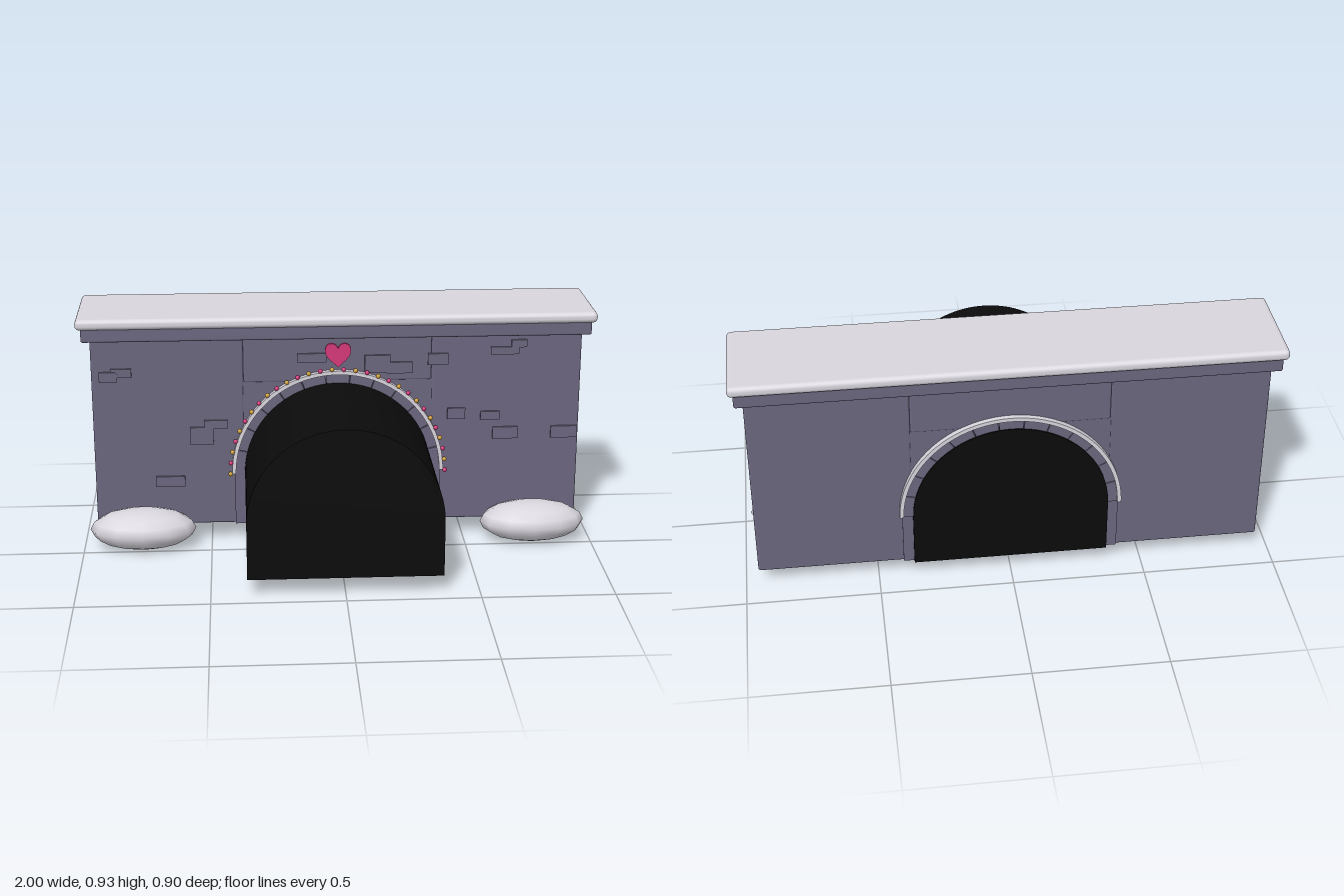
import * as THREE from 'three';
import { toCreasedNormals } from 'three/addons/utils/BufferGeometryUtils.js';
import { RoundedBoxGeometry } from 'three/addons/geometries/RoundedBoxGeometry.js';

const SPRING = 0.285, BASE = 0.07, HALF = 0.365; // arch springing height, ground line, half opening

export function createModel() {
  const group = new THREE.Group();
  const material = (name, color) => {
    const m = new THREE.MeshStandardMaterial({ color });
    m.name = name;
    return m;
  };
  const stone = material('purple stone', 0x6b667f);
  const snow = material('snow', 0xd8d5dd);
  const dark = material('tunnel black', 0x0b0b0b);
  const pink = material('pink', 0xd6397a);
  const gold = material('gold', 0xcfa03a);

  const add = (name, geometry, mat, x = 0, y = 0, z = 0) => {
    const mesh = new THREE.Mesh(geometry, mat);
    mesh.name = name;
    mesh.position.set(x, y, z);
    group.add(mesh);
    return mesh;
  };
  // Rounded block given by its limits
  const block = (name, mat, x0, x1, y0, y1, z0, z1, r) =>
    add(name, new RoundedBoxGeometry(x1 - x0, y1 - y0, z1 - z0, 3, r), mat,
      (x0 + x1) / 2, (y0 + y1) / 2, (z0 + z1) / 2);
  // Shape in the front plane, extruded between two depths
  const slab = (name, mat, shape, z0, z1) => {
    const g = new THREE.ExtrudeGeometry(shape, { depth: z1 - z0, bevelEnabled: false, curveSegments: 32 });
    return add(name, toCreasedNormals(g, 0.5), mat, 0, 0, z0);
  };
  const ringShape = (inner, outer, a0, a1) => {
    const s = new THREE.Shape();
    s.absarc(0, SPRING, outer, a0, a1, false);
    s.absarc(0, SPRING, inner, a1, a0, true);
    s.closePath();
    return s;
  };

  // Wall: two piers, a lintel and the fill around the arch
  block('leftPier', stone, HALF, 0.95, BASE, 0.835, -0.4, -0.11, 0.008);
  block('rightPier', stone, -0.95, -HALF, BASE, 0.835, -0.4, -0.11, 0.008);
  block('lintel', stone, -HALF, HALF, 0.652, 0.835, -0.4, -0.11, 0.008);
  const fill = new THREE.Shape();
  fill.moveTo(0.37, SPRING);
  fill.lineTo(0.37, 0.66);
  fill.lineTo(-0.37, 0.66);
  fill.lineTo(-0.37, SPRING);
  fill.absarc(0, SPRING, HALF, Math.PI, 0, true);
  slab('archFill', stone, fill, -0.398, -0.112);

  // Cornice and snow cap
  block('cornice', stone, -0.98, 0.98, 0.833, 0.89, -0.437, -0.073, 0.008);
  block('snowCap', snow, -1, 1, 0.883, 0.925, -0.45, -0.06, 0.018);

  // Tunnel body
  const tunnel = new THREE.Shape();
  tunnel.moveTo(-HALF, BASE);
  tunnel.lineTo(HALF, BASE);
  tunnel.lineTo(HALF, SPRING);
  tunnel.absarc(0, SPRING, HALF, 0, Math.PI, false);
  tunnel.closePath();
  slab('tunnel', dark, tunnel, -0.42, 0.45);

  // Arch stones with fine joints, and the jambs below them
  const STONES = 13;
  for (let i = 0; i < STONES; i++) {
    const step = Math.PI / STONES;
    slab('archStone', stone, ringShape(HALF, 0.402, i * step + 0.004, (i + 1) * step - 0.004), -0.415, -0.095);
  }
  for (const s of [-1, 1]) {
    add('jamb', new THREE.BoxGeometry(0.04, SPRING - BASE, 0.305), stone,
      s * (HALF + 0.02), (SPRING + BASE) / 2, -0.2525);
  }
  slab('archSnow', snow, ringShape(0.4, 0.415, 0, Math.PI), -0.42, -0.088);

  // Alternating string of beads
  const bead = new THREE.SphereGeometry(0.009, 10, 8);
  for (let i = 0; i < 30; i++) {
    const a = (i / 29) * Math.PI;
    add('bead', bead, i % 2 ? gold : pink, 0.422 * Math.cos(a), SPRING + 0.422 * Math.sin(a), -0.087);
  }

  // Heart above the arch
  const heart = new THREE.Shape();
  heart.moveTo(0, 0.72);
  heart.bezierCurveTo(-0.02, 0.742, -0.05, 0.758, -0.05, 0.787);
  heart.bezierCurveTo(-0.05, 0.82, -0.01, 0.825, 0, 0.795);
  heart.bezierCurveTo(0.01, 0.825, 0.05, 0.82, 0.05, 0.787);
  heart.bezierCurveTo(0.05, 0.758, 0.02, 0.742, 0, 0.72);
  slab('heart', pink, heart, -0.086, -0.073);

  // Raised bricks: x, y, width, height
  const bricks = [
    [-0.885, 0.685, 0.07, 0.04], [-0.835, 0.7, 0.08, 0.035], [-0.658, 0.252, 0.115, 0.042],
    [-0.475, 0.485, 0.09, 0.035], [-0.53, 0.44, 0.09, 0.07], [-0.1, 0.75, 0.115, 0.035],
    [0.155, 0.722, 0.1, 0.07], [0.24, 0.705, 0.1, 0.045], [0.39, 0.737, 0.08, 0.045],
    [0.65, 0.767, 0.11, 0.03], [0.705, 0.795, 0.06, 0.03], [0.465, 0.513, 0.07, 0.045],
    [0.598, 0.503, 0.075, 0.034], [0.66, 0.43, 0.1, 0.048], [0.893, 0.43, 0.105, 0.048],
  ];
  bricks.forEach(([x, y, w, h], i) => {
    const front = -0.101 - (i % 2) * 0.001;
    add('brick', new THREE.BoxGeometry(w, h, 0.03), stone, x, y, front - 0.015);
  });

  // Snow mounds at the feet of the piers
  for (const s of [-1, 1]) {
    const mound = add('snowMound', new THREE.SphereGeometry(1, 12, 8), snow, s * 0.768, 0.08, -0.048);
    mound.scale.set(0.207, 0.08, 0.113);
  }
  return group;
}
